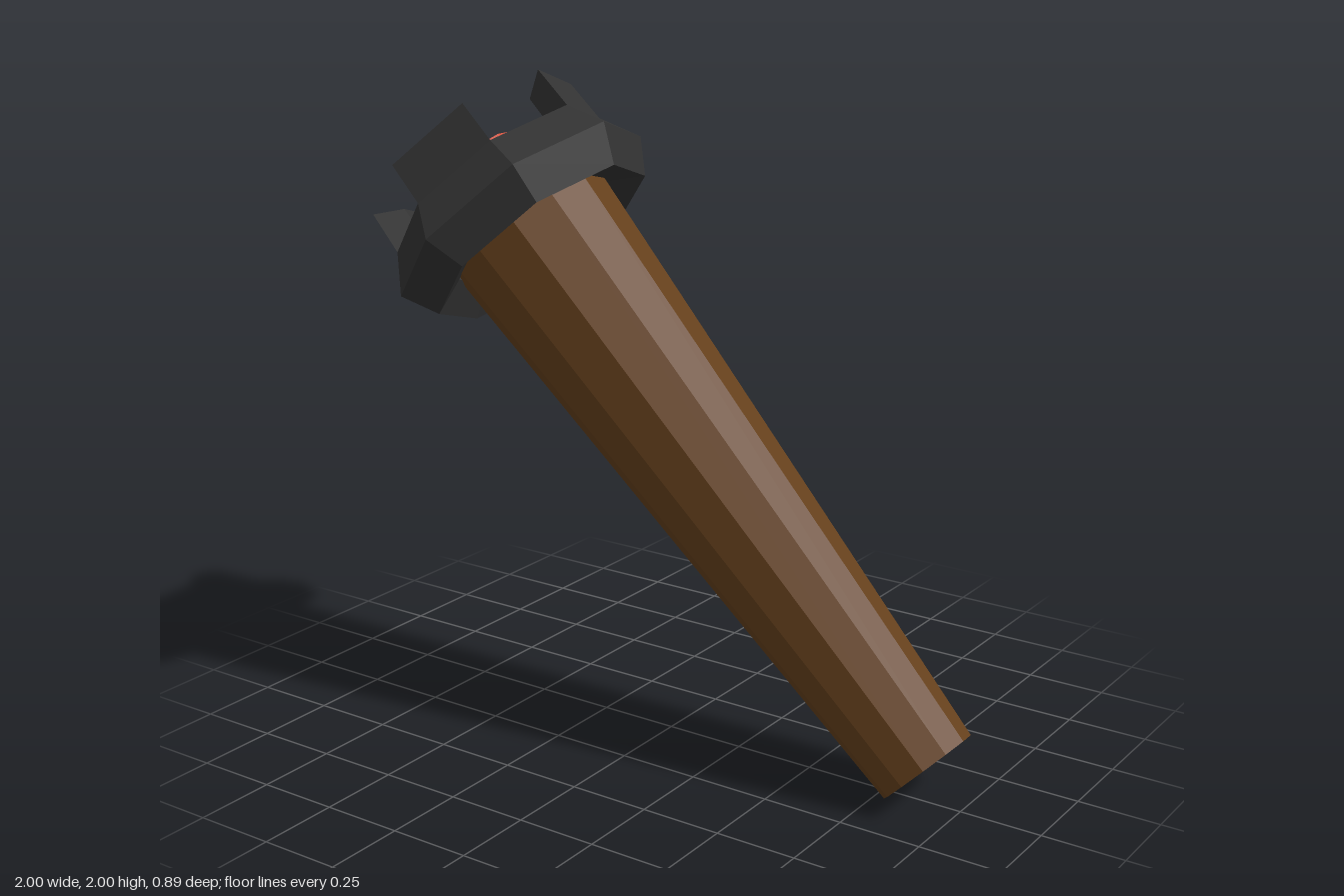
import * as THREE from 'three';

const paint = (color) => new THREE.MeshStandardMaterial({ color, flatShading: true });

export function createModel() {
  const wood = paint(0x65401c), iron = paint(0x333333), ember = paint(0xd94f38);

  const model = new THREE.Group();
  model.name = 'torch';
  // Built upright from the foot of the handle, then leaned 45 degrees
  const torch = new THREE.Group();
  torch.name = 'leaningTorch';
  torch.position.set(0.89, 0.11, 0);
  torch.rotation.z = Math.PI / 4;
  model.add(torch);

  const add = (name, geometry, material) => {
    const mesh = new THREE.Mesh(geometry, material);
    mesh.name = name;
    torch.add(mesh);
    return mesh;
  };

  // Tapered twelve-sided handle
  add('handle', new THREE.CylinderGeometry(0.273, 0.155, 2.02, 12).translate(0, 1.01, 0), wood);

  // Ten-sided glowing core
  add('core', new THREE.CylinderGeometry(0.15, 0.15, 0.25, 10).translate(0, 2.127, 0), ember);

  // Octagonal collar: closed profile of [radius, height]
  const profile = [
    [0.27, 1.982], [0.38, 1.927], [0.443, 2.04], [0.374, 2.162], [0.28, 2.12], [0.27, 1.982],
  ].map(([r, y]) => new THREE.Vector2(r, y));
  add('collar', new THREE.LatheGeometry(profile, 8), iron);

  // Four prongs, each standing on every second side of the collar
  const prong = new THREE.BoxGeometry(1, 1, 1);
  const p = prong.attributes.position;
  for (let i = 0; i < p.count; i++) {
    const outer = p.getX(i) > 0, high = p.getY(i) > 0;
    const angle = p.getZ(i) > 0 ? Math.PI / 2 : Math.PI / 4;
    const r = outer ? (high ? 0.367 : 0.374) : 0.28;
    const y = outer ? (high ? 2.305 : 2.162) : (high ? 2.265 : 2.12);
    p.setXYZ(i, r * Math.cos(angle), y, r * Math.sin(angle));
  }
  prong.computeVertexNormals();
  for (let k = 0; k < 4; k++) {
    add('prong' + (k + 1), prong, iron).rotation.y = k * Math.PI / 2;
  }
  return model;
}
